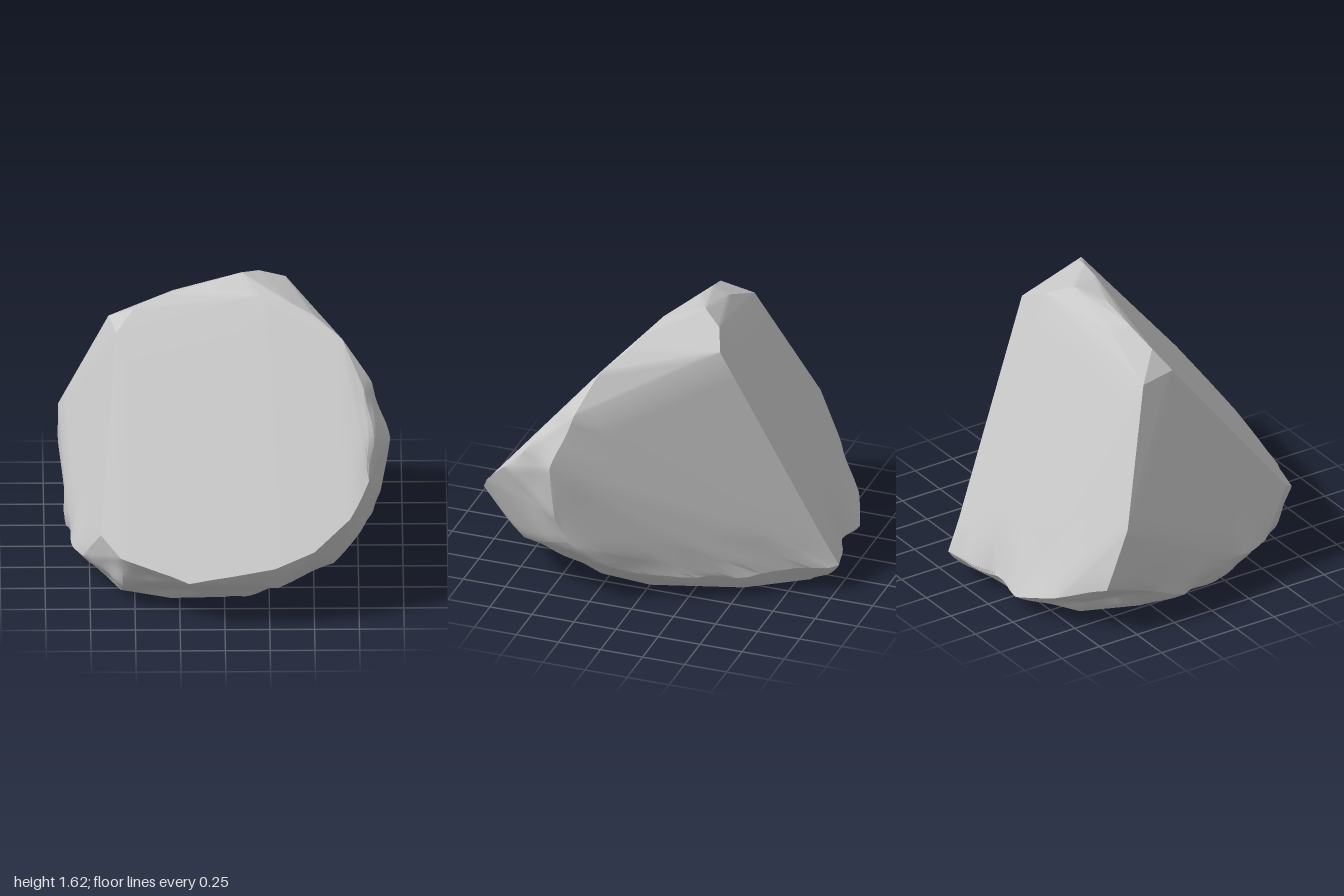
import * as THREE from 'three';
import { ConvexGeometry } from 'three/addons/geometries/ConvexGeometry.js';
import { toCreasedNormals } from 'three/addons/utils/BufferGeometryUtils.js';

const toVectors = rows => rows.map(p => new THREE.Vector3(...p));

// Rim of the big sloping front cleave
const frontRim = [
  [-0.6, 1.35, 0], [-0.5, 1.46, -0.07], [-0.3, 1.54, -0.1], [-0.1, 1.58, -0.1],
  [0.2, 1.58, 0.01], [0.37, 1.56, 0.05], [0.5, 1.51, 0.1], [0.66, 1.42, 0.22],
  [0.78, 1.2, 0.4], [0.84, 0.95, 0.6], [0.82, 0.8, 0.75], [0.7, 0.63, 0.88],
  [0.5, 0.47, 0.97], [0.28, 0.38, 1], [0, 0.31, 0.97], [-0.2, 0.27, 0.97],
  [-0.42, 0.32, 0.87], [-0.58, 0.35, 0.81], [-0.69, 0.44, 0.7],
];
// Summit and the ridge above the back cleave
const summit = [
  [0.1, 1.62, -0.2], [-0.64, 1.34, -0.22], [-0.28, 1.51, -0.2],
  [0.2, 1.57, -0.32], [0.35, 1.5, -0.38],
];
// Corners of the back, left and right cleaves
const sides = [
  [0.14, 0.16, -1], [-0.15, 0.1, -0.96], [-0.42, 0.1, -0.93], [-0.66, 0.18, -0.82], [-0.92, 0.28, -0.65],
  [-0.92, 0.63, -0.51], [-0.9, 0.2, -0.3], [-0.87, 0.08, -0.1], [-0.86, 0.2, 0.27], [-0.8, 0.2, 0.5],
  [0.83, 1.2, 0.32], [0.92, 0.9, 0.42], [0.89, 0.56, 0.42], [0.85, 0.4, 0.36],
  [0.8, 0.32, 0.3], [0.67, 0.16, 0.05], [0.42, 0.12, -0.5],
];
// Undercut and flat footing
const base = [
  [0.3, 0.2, 0.9], [-0.2, 0.17, 0.83], [-0.55, 0.14, 0.7], [0.62, 0.25, 0.7],
  [0.08, 0, -0.82], [0.3, 0, -0.5], [0.45, 0, 0], [0.42, 0, 0.3], [0.25, 0, 0.5], [0, 0, 0.61],
  [-0.3, 0, 0.62], [-0.58, 0, 0.52], [-0.73, 0, 0.2], [-0.73, 0, -0.3], [-0.6, 0, -0.62], [-0.3, 0, -0.78],
];

// Splits every triangle into n x n smaller ones
function subdivide(geometry, n) {
  const src = geometry.getAttribute('position');
  const out = [];
  const [a, b, c] = [0, 1, 2].map(() => new THREE.Vector3());
  const put = (i, j) => {
    const k = n - i - j;
    out.push(...['x', 'y', 'z'].map(d => (a[d] * k + b[d] * i + c[d] * j) / n));
  };
  for (let t = 0; t < src.count; t += 3) {
    [a, b, c].forEach((v, i) => v.fromBufferAttribute(src, t + i));
    for (let i = 0; i < n; i++) {
      for (let j = 0; j < n - i; j++) {
        put(i, j); put(i + 1, j); put(i, j + 1);
        if (i + j < n - 1) { put(i + 1, j); put(i + 1, j + 1); put(i, j + 1); }
      }
    }
  }
  const result = new THREE.BufferGeometry();
  result.setAttribute('position', new THREE.Float32BufferAttribute(out, 3));
  return result;
}

const chips = (x, y, z) =>
  Math.sin(9 * x + 4 * z + 1) * Math.sin(8 * z - 5 * y) +
  0.5 * Math.sin(17 * x - 9 * y) * Math.sin(15 * z + 8 * x + 2);

// Chips the undercut and the right shoulder, leaving the cleaves smooth
function roughen(geometry) {
  const p = geometry.getAttribute('position');
  const step = THREE.MathUtils.smoothstep;
  for (let i = 0; i < p.count; i++) {
    const x = p.getX(i), y = p.getY(i), z = p.getZ(i);
    const low = step(y, 0, 0.08) * (1 - step(y, 0.15, 0.36));
    const shoulder = 0.6 * step(x, 0.72, 0.86) * step(z, 0.25, 0.4) * step(y, 0.2, 0.4);
    const s = 1 + Math.max(low, shoulder) * (0.03 * chips(x, y, z) - 0.015);
    p.setXYZ(i, x * s, 0.5 + (y - 0.5) * (1 + (s - 1) * 0.8), z * s);
  }
  return geometry;
}

export function createModel() {
  const group = new THREE.Group();
  group.name = 'rock';
  const hull = new ConvexGeometry(toVectors([...frontRim, ...summit, ...sides, ...base]));
  const geometry = toCreasedNormals(roughen(subdivide(hull, 8)), 0.45);
  const boulder = new THREE.Mesh(
    geometry,
    new THREE.MeshStandardMaterial({ color: 0xcccccc }),
  );
  boulder.name = 'boulder';
  group.add(boulder);
  return group;
}
